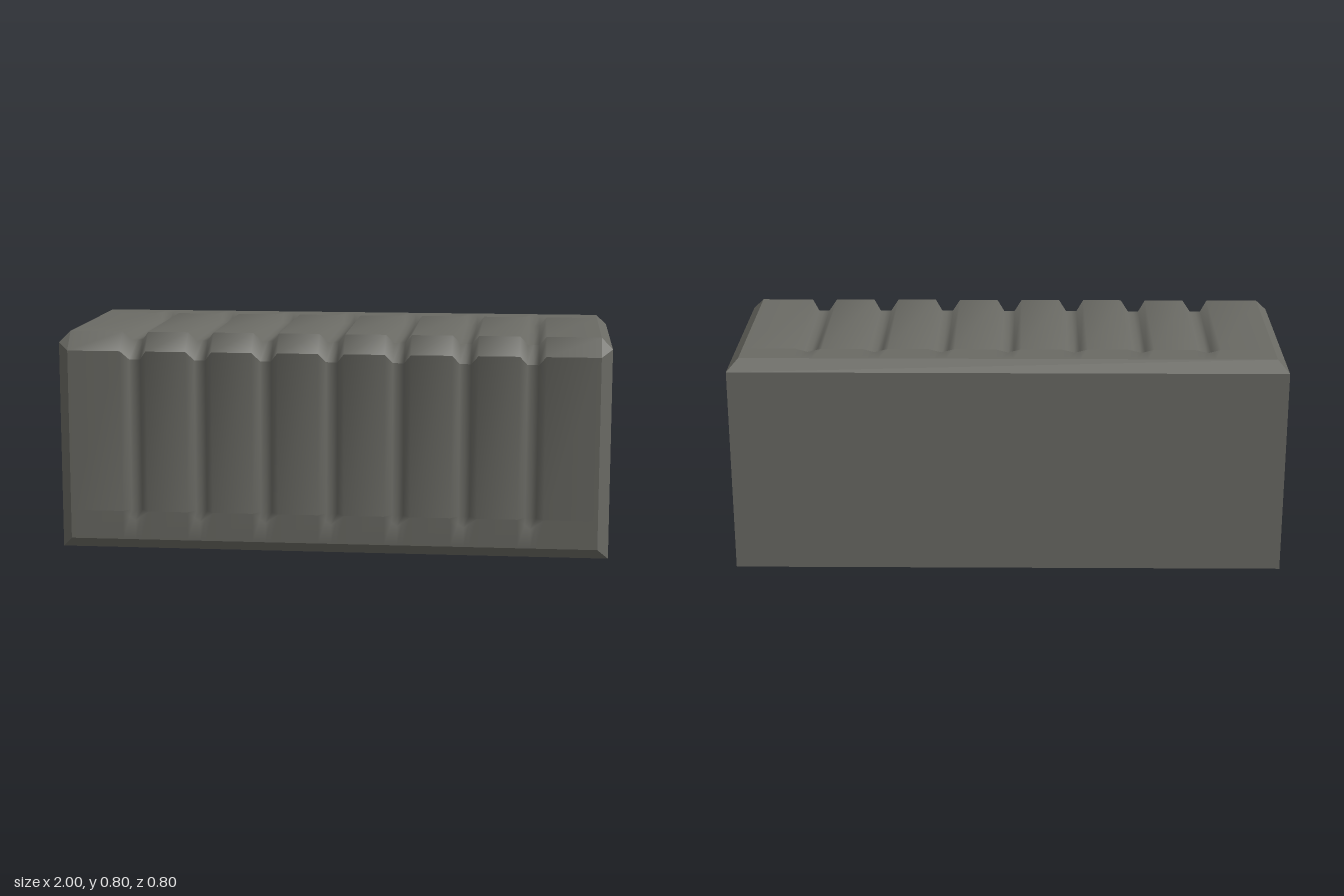
import * as THREE from 'three';

const GROOVES = [-3, -2, -1, 0, 1, 2, 3].map((i) => i * 0.24);
const HALF = 0.047;   // groove half width at the surface
const FLOOR = 0.02;   // groove half width at the floor
const DEPTH = 0.034;
const TAPER = 0.035;  // length of the pointed groove end

// x stations: panel edges plus five per groove; t is the distance from the groove centre
const columns = [{ x: -0.96, t: HALF }];
for (const c of GROOVES) {
  for (const d of [-HALF, -FLOOR, 0, FLOOR, HALF]) columns.push({ x: c + d, t: Math.abs(d) });
}
columns.push({ x: 0.96, t: HALF });

// A panel is a grid of rows; cut is the groove direction, point the direction of its pointed end
function panel(name, rows, material) {
  const pos = [], index = [], n = columns.length;
  for (const { y, z, cut = [0, 0], point = [0, 0] } of rows) {
    for (const { x, t } of columns) {
      const dip = t < HALF ? DEPTH : 0;
      const slide = TAPER * (t / HALF);
      pos.push(x, y + cut[0] * dip + point[0] * slide, z + cut[1] * dip + point[1] * slide);
    }
  }
  for (let r = 0; r < rows.length - 1; r++) {
    for (let i = 0; i < n - 1; i++) {
      const a = r * n + i;
      index.push(a, a + 1, a + n + 1, a, a + n + 1, a + n);
    }
  }
  const g = new THREE.BufferGeometry();
  g.setAttribute('position', new THREE.Float32BufferAttribute(pos, 3));
  g.setIndex(index);
  g.computeVertexNormals();
  const mesh = new THREE.Mesh(g, material);
  mesh.name = name;
  return mesh;
}

// Flat faces from corner loops
function facets(name, loops, material) {
  const pos = [];
  for (const p of loops) {
    for (let i = 1; i < p.length - 1; i++) pos.push(...p[0], ...p[i], ...p[i + 1]);
  }
  const g = new THREE.BufferGeometry();
  g.setAttribute('position', new THREE.Float32BufferAttribute(pos, 3));
  g.computeVertexNormals();
  const mesh = new THREE.Mesh(g, material);
  mesh.name = name;
  return mesh;
}

export function createModel() {
  const model = new THREE.Group();
  model.name = 'groovedBlock';
  const stone = new THREE.MeshStandardMaterial({ color: 0x6a6a64 });
  stone.name = 'darkGreyStone';

  // Grooved front, front top bevel and top
  const lower = { y: 0.735, z: 0.4, cut: [-1, -1] };
  const upper = { y: 0.8, z: 0.343, cut: [-1, -1] };
  model.add(panel('frontFace', [
    { y: 0.04, z: 0.4 },
    { y: 0.11, z: 0.4, point: [1, 0] },
    { y: 0.11 + TAPER, z: 0.4, cut: [0, -1] },
    lower,
  ], stone));
  model.add(panel('frontTopBevel', [lower, upper], stone));
  model.add(panel('topFace', [
    upper,
    { y: 0.8, z: -0.29 + TAPER, cut: [-1, 0] },
    { y: 0.8, z: -0.29, point: [0, 1] },
    { y: 0.8, z: -0.36 },
  ], stone));

  // Corners for one end: outer end face and inner bevel line
  const corners = (s) => ({
    endFoot: [s, 0, 0.36], endTop: [s, 0.76, 0.36], backTop: [s, 0.76, -0.4], backFoot: [s, 0, -0.4],
    foot: [s * 0.96, 0.04, 0.4], low: [s * 0.96, 0.735, 0.4],
    high: [s * 0.96, 0.8, 0.343], rear: [s * 0.96, 0.8, -0.36],
  });

  // End faces with their bevels, mirrored
  for (const s of [1, -1]) {
    const k = corners(s);
    const loops = [
      [k.endFoot, k.backFoot, k.backTop, k.endTop],
      [k.foot, k.endFoot, k.endTop, k.low],
      [k.low, k.endTop, k.high],
      [k.high, k.endTop, k.backTop, k.rear],
    ];
    if (s < 0) loops.forEach((l) => l.reverse());
    model.add(facets(s > 0 ? 'leftEnd' : 'rightEnd', loops, stone));
  }

  // Full-length faces joining the two ends
  const L = corners(1), R = corners(-1);
  const span = (a, b) => [[R[a], L[a], L[b], R[b]]];
  model.add(facets('frontBottomBevel', span('endFoot', 'foot'), stone));
  model.add(facets('backTopBevel', span('rear', 'backTop'), stone));
  model.add(facets('backFace', span('backTop', 'backFoot'), stone));
  model.add(facets('underside', span('backFoot', 'endFoot'), stone));
  return model;
}
